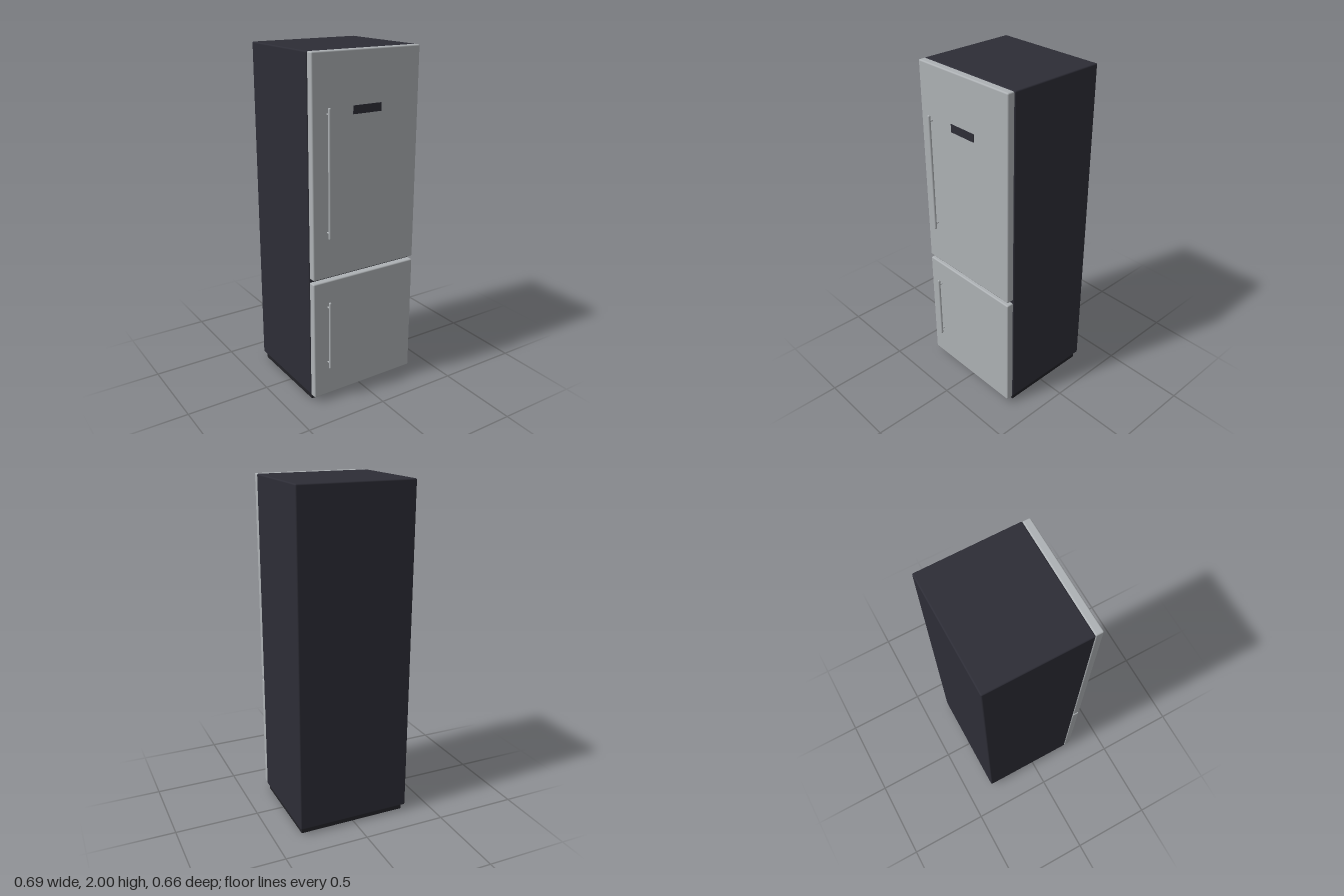
import * as THREE from 'three';
import { RoundedBoxGeometry } from 'three/addons/geometries/RoundedBoxGeometry.js';

const material = (name, color) => {
  const m = new THREE.MeshStandardMaterial({ color });
  m.name = name;
  return m;
};

export function createModel() {
  const model = new THREE.Group();
  model.name = 'refrigerator';
  const charcoal = material('charcoal', 0x2d2d36);
  const black = material('plinth black', 0x222227);
  const steel = material('brushed steel', 0xadb1b4);

  const add = (parent, name, geometry, mat, x, y, z) => {
    const mesh = new THREE.Mesh(geometry, mat);
    mesh.name = name;
    mesh.position.set(x, y, z);
    parent.add(mesh);
    return mesh;
  };
  // Rounded box given by its extents, centred on x = 0
  const block = (name, mat, width, y0, y1, z0, z1, radius) =>
    add(model, name, new RoundedBoxGeometry(width, y1 - y0, z1 - z0, 3, radius),
      mat, 0, (y0 + y1) / 2, (z0 + z1) / 2);

  // Cabinet and recessed plinth
  block('cabinet', charcoal, 0.688, 0.037, 2, -0.333, 0.256, 0.008);
  add(model, 'plinth', new THREE.BoxGeometry(0.66, 0.05, 0.556), black, 0, 0.025, -0.031);

  // Doors
  block('upperDoor', steel, 0.684, 0.773, 2, 0.256, 0.301, 0.008);
  block('lowerDoor', steel, 0.684, 0.035, 0.753, 0.256, 0.301, 0.008);

  // Display plate on the upper door
  add(model, 'display', new THREE.BoxGeometry(0.18, 0.046, 0.004), charcoal, 0, 1.69, 0.302);

  // Bar handles on two standoffs
  const handle = (name, y0, y1) => {
    const group = new THREE.Group();
    group.name = name;
    const r = 0.008, inset = 0.036;
    add(group, 'bar', new THREE.CapsuleGeometry(r, y1 - y0 - 2 * r, 6, 16), steel,
      -0.25, (y0 + y1) / 2, 0.323);
    for (const y of [y0 + inset, y1 - inset]) {
      add(group, 'standoff', new THREE.CylinderGeometry(0.005, 0.005, 0.026, 12), steel,
        -0.25, y, 0.311).rotation.x = Math.PI / 2;
    }
    model.add(group);
  };
  handle('upperHandle', 1.005, 1.72);
  handle('lowerHandle', 0.212, 0.632);

  return model;
}
